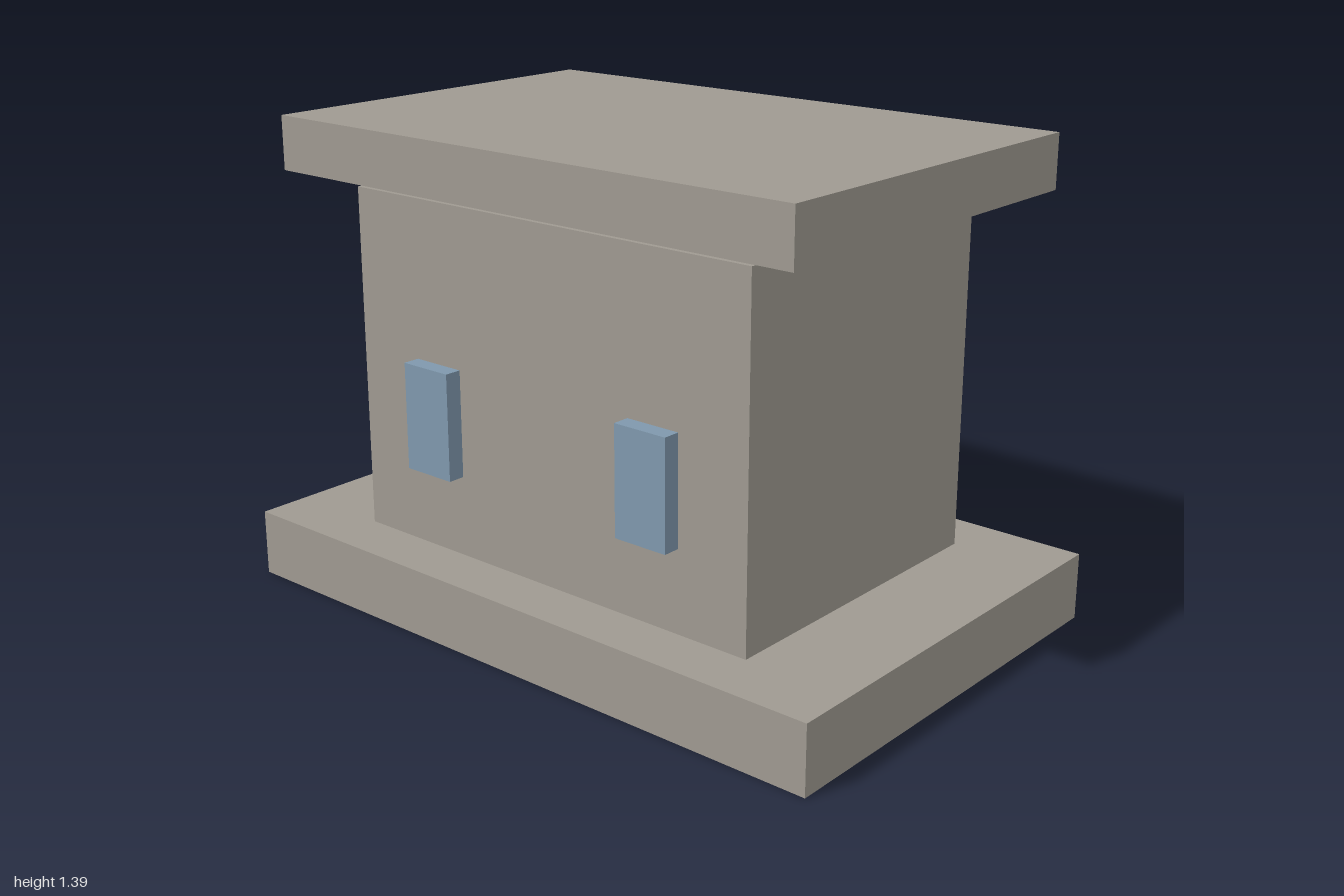
import * as THREE from 'three';

export function createModel() {
  const model = new THREE.Group();
  model.name = 'building';

  const stone = new THREE.MeshStandardMaterial({ color: 0x9f9a91 });
  stone.name = 'warm grey stone';
  const glass = new THREE.MeshStandardMaterial({ color: 0x7f98ad });
  glass.name = 'blue glass';

  // Box placed by the height of its underside
  function addBox(name, [w, h, d], [x, bottom, z], material) {
    const mesh = new THREE.Mesh(new THREE.BoxGeometry(w, h, d), material);
    mesh.name = name;
    mesh.position.set(x, bottom + h / 2, z);
    model.add(mesh);
  }

  // Foundation, walls and the flat roof floating just above them
  addBox('foundation', [2, 0.195, 1.294], [0, 0, 0], stone);
  addBox('walls', [1.386, 1.002, 0.966], [0, 0.195, 0], stone);
  addBox('roof', [1.772, 0.155, 1.164], [0, 1.233, 0], stone);

  // Pair of raised front windows
  for (const [name, side] of [['leftWindow', 1], ['rightWindow', -1]]) {
    addBox(name, [0.167, 0.31, 0.05], [side * 0.389, 0.43, 0.508], glass);
  }

  return model;
}
